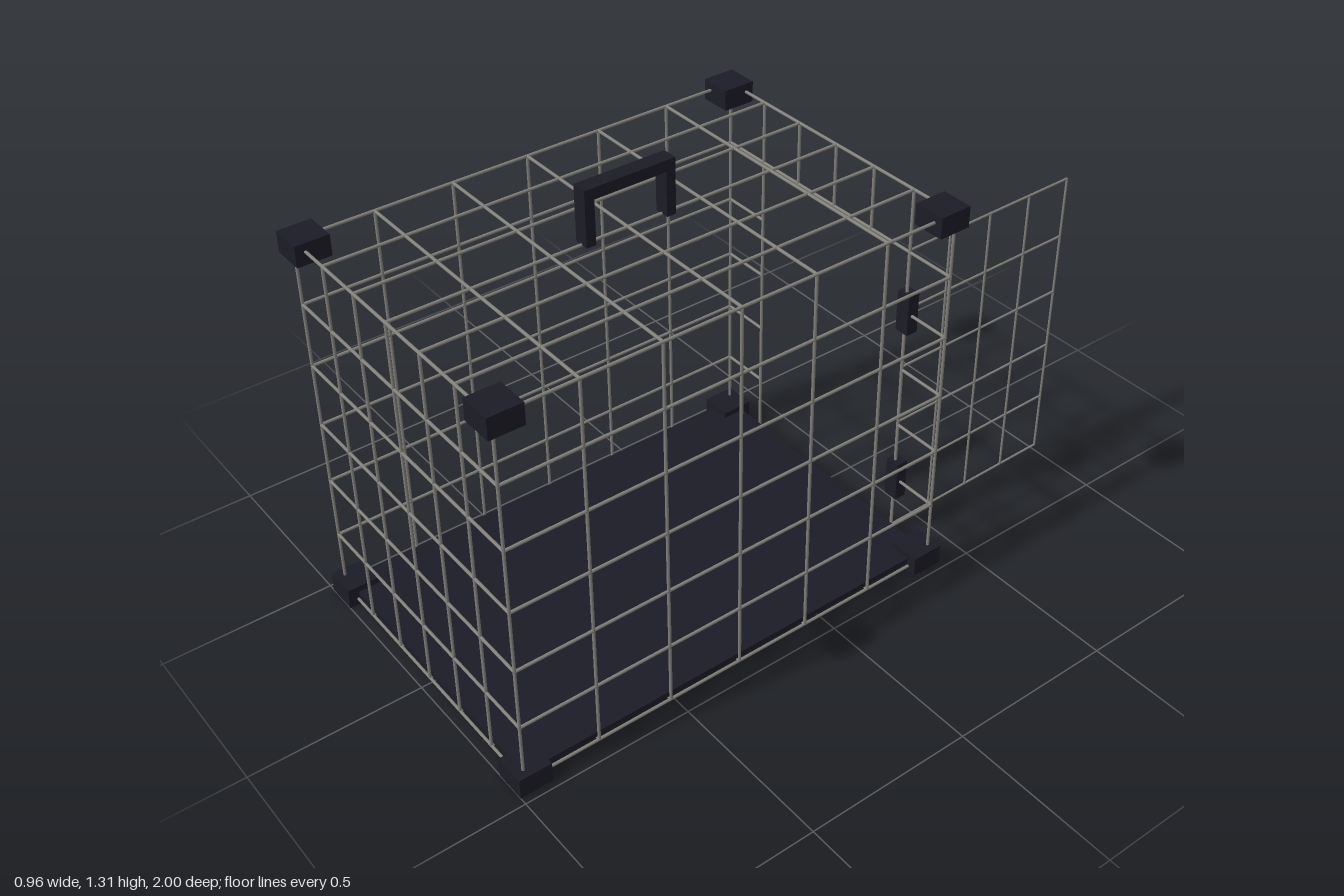
import * as THREE from 'three';

const wireMat = new THREE.MeshStandardMaterial({ color: 0x84827d });
wireMat.name = 'wire grey';
const plasticMat = new THREE.MeshStandardMaterial({ color: 0x1c1c27 });
plasticMat.name = 'dark plastic';

// Cage limits
const X = 0.452, Y0 = 0.02, Y1 = 1.15, Z0 = -0.388, Z1 = 0.972;
const steps = (a, b, n) => Array.from({ length: n + 1 }, (_, i) => a + (b - a) * i / n);
const xs = steps(-X, X, 6), ys = steps(Y0, Y1, 6), zs = steps(Z0, Z1, 6);

function group(name, parent) {
  const g = new THREE.Group();
  g.name = name;
  parent.add(g);
  return g;
}

// Straight round wire between two points
function wire(parent, a, b, r = 0.0045) {
  const p = new THREE.Vector3(...a), q = new THREE.Vector3(...b);
  const dir = q.clone().sub(p);
  const m = new THREE.Mesh(new THREE.CylinderGeometry(r, r, dir.length(), 8), wireMat);
  m.name = 'wire';
  m.position.copy(p).add(q).multiplyScalar(0.5);
  m.quaternion.setFromUnitVectors(new THREE.Vector3(0, 1, 0), dir.normalize());
  parent.add(m);
}

// Wire grid: at(u, v) maps panel coordinates to a point
function grid(parent, us, vs, at, r) {
  const u1 = us[us.length - 1], v1 = vs[vs.length - 1];
  for (const u of us) wire(parent, at(u, vs[0]), at(u, v1), r);
  for (const v of vs) wire(parent, at(us[0], v), at(u1, v), r);
}

function box(parent, name, w, h, d, x, y, z) {
  const m = new THREE.Mesh(new THREE.BoxGeometry(w, h, d), plasticMat);
  m.name = name;
  m.position.set(x, y, z);
  parent.add(m);
}

export function createModel() {
  const root = new THREE.Group();
  root.name = 'wireCrate';

  // Full wire panels
  grid(group('frontPanel', root), xs, ys, (u, v) => [u, v, Z1]);
  grid(group('leftPanel', root), zs, ys, (u, v) => [X, v, u]);
  grid(group('rightPanel', root), zs, ys, (u, v) => [-X, v, u]);
  grid(group('topPanel', root), xs, zs, (u, v) => [u, Y1, v]);
  grid(group('bottomPanel', root), xs, zs, (u, v) => [u, Y0, v]);

  // Back panel around the door opening
  const back = group('backPanel', root);
  const onBack = (u, v) => [u, v, Z0];
  grid(back, xs.slice(0, 2), ys, onBack);
  grid(back, xs.slice(5), ys, onBack);
  grid(back, xs.slice(1, 6), ys.slice(5), onBack);
  wire(back, onBack(xs[1], Y0), onBack(xs[5], Y0));

  // Door swung open to the rear
  const door = group('door', root);
  door.position.set(0.292, 0, -0.395);
  door.rotation.y = 0.012;
  grid(door, steps(0, -0.601, 4), steps(0.024, 0.96, 5), (u, v) => [0, v, u], 0.0035);

  // Hinges
  for (const y of [0.212, 0.777]) box(root, 'hinge', 0.044, 0.124, 0.036, 0.303, y, -0.392);

  // Floor tray
  box(root, 'floorTray', 0.896, 0.016, Z1 - Z0 - 0.008, 0, 0.036, (Z0 + Z1) / 2);

  // Corner blocks
  for (const x of [-0.431, 0.431])
    for (const y of [0.031, 1.144])
      for (const z of [-0.364, 0.952]) box(root, 'cornerBlock', 0.094, 0.061, 0.096, x, y, z);

  // Carry handle
  const handle = group('handle', root);
  box(handle, 'handleGrip', 0.045, 0.032, 0.27, 0, 1.294, 0.295);
  for (const z of [0.174, 0.416]) box(handle, 'handlePost', 0.045, 0.128, 0.028, 0, 1.214, z);

  return root;
}
